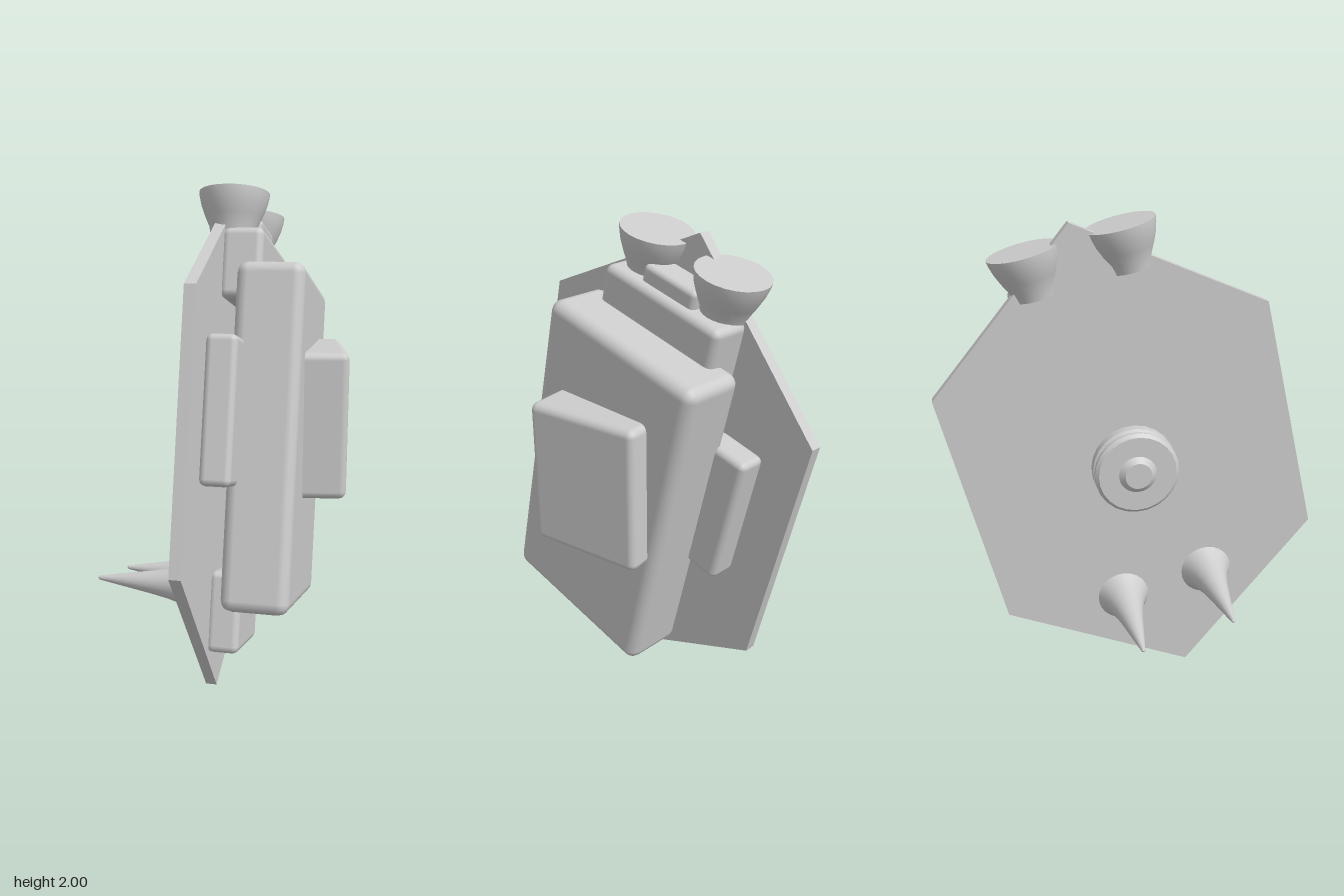
import * as THREE from 'three';
import { toCreasedNormals } from 'three/addons/utils/BufferGeometryUtils.js';
import { RoundedBoxGeometry } from 'three/addons/geometries/RoundedBoxGeometry.js';

const grey = new THREE.MeshStandardMaterial({ color: 0xcccccc });
grey.name = 'light grey';

function add(parent, name, geometry, x = 0, y = 0, z = 0) {
  const mesh = new THREE.Mesh(geometry, grey);
  mesh.name = name;
  mesh.position.set(x, y, z);
  parent.add(mesh);
  return mesh;
}

// Bevelled box given by its min and max on each axis
function block(parent, name, [x0, x1], [y0, y1], [z0, z1], bevel) {
  const geo = new RoundedBoxGeometry(x1 - x0, y1 - y0, z1 - z0, 2, bevel);
  return add(parent, name, geo, (x0 + x1) / 2, (y0 + y1) / 2, (z0 + z1) / 2);
}

// Turned part from [radius, height] pairs
function turned(profile, sides = 24) {
  const pts = profile.map(([r, h]) => new THREE.Vector2(r, h));
  return toCreasedNormals(new THREE.LatheGeometry(pts, sides), 0.6);
}

export function createModel() {
  const root = new THREE.Group();
  root.name = 'backpack';

  // Tilted body: local x points out of the plate, y along its length
  const body = new THREE.Group();
  body.name = 'tiltedBody';
  body.position.y = 0.99;
  body.rotation.set(-0.24, -0.18, 0, 'YXZ');
  root.add(body);

  // Hexagonal back plate
  const hexagon = new THREE.Shape(
    [[0, 1.02], [-0.685, 0.51], [-0.685, -0.51], [0, -1.02], [0.685, -0.51], [0.685, 0.51]]
      .map(([a, b]) => new THREE.Vector2(a, b)));
  const plate = new THREE.ExtrudeGeometry(hexagon, { depth: 0.044, bevelEnabled: false });
  plate.translate(0, 0, -0.022).rotateY(Math.PI / 2);
  add(body, 'hexagonPlate', plate);

  // Main casing with the blocks tucked behind it
  block(body, 'mainCasing', [0.09, 0.352], [-0.66, 0.66], [-0.375, 0.375], 0.045);
  block(body, 'topBlock', [0.01, 0.175], [0.53, 0.805], [-0.29, 0.29], 0.03);
  block(body, 'topCap', [0.02, 0.14], [0.74, 0.87], [-0.13, 0.13], 0.02);
  block(body, 'bottomBlock', [0.01, 0.14], [-0.85, -0.53], [-0.2, 0.2], 0.028);
  for (const side of [1, -1]) {
    const span = side > 0 ? [0.3, 0.51] : [-0.51, -0.3];
    block(body, side > 0 ? 'frontBar' : 'rearBar', [0.02, 0.14], [-0.19, 0.365], span, 0.025);
  }

  // Raised panel, set square to the ground
  block(root, 'outerPanel', [0.24, 0.488], [0.79, 1.37], [-0.24, 0.235], 0.03);

  // Flared nozzles on top and spikes on the far face
  const nozzle = turned([[0, 0.78], [0.085, 0.78], [0.093, 0.82], [0.112, 0.86],
    [0.128, 0.9], [0.137, 0.935], [0.14, 0.957], [0, 0.957]]);
  const spike = turned([[0.115, 0.015], [0.092, 0.05], [0.074, 0.1], [0.06, 0.15],
    [0.046, 0.22], [0.008, 0.44], [0, 0.447]]);
  for (const z of [0.19, -0.19]) {
    add(body, 'nozzle', nozzle, 0.033, 0, z);
    add(body, 'spike', spike, 0, -0.594, z).rotation.z = Math.PI / 2;
  }

  // Stepped hub in the middle of the far face
  const hub = turned([[0.175, 0], [0.175, 0.06], [0.16, 0.07], [0.16, 0.08], [0.174, 0.09],
    [0.174, 0.105], [0.16, 0.118], [0.078, 0.118], [0.055, 0.138], [0, 0.138]]);
  add(body, 'hub', hub).rotation.z = Math.PI / 2;

  return root;
}
